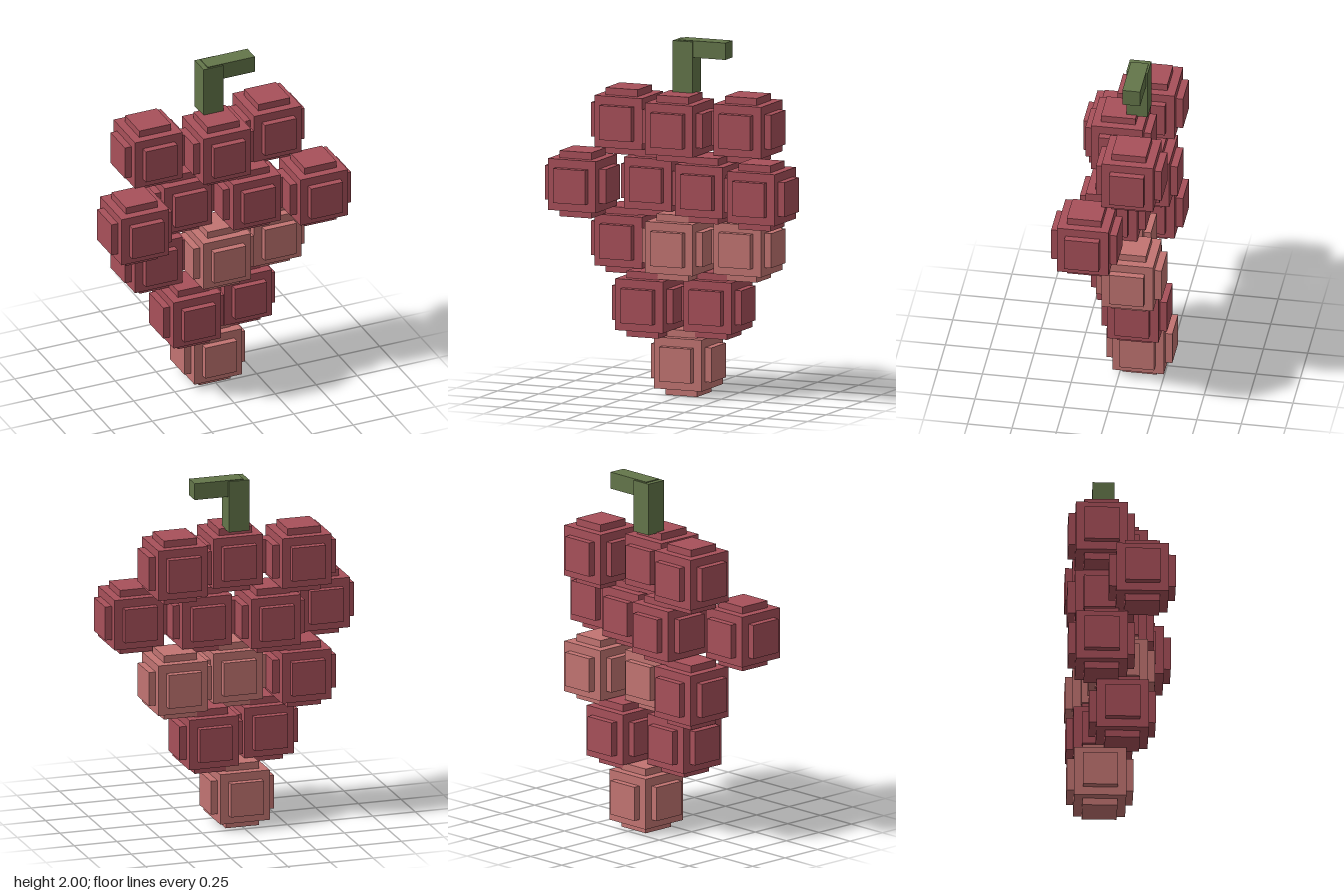
import * as THREE from 'three';

const CORE = 0.29;   // edge of the berry's main cube
const OUTER = 0.37;  // berry size across two opposite raised pads
const PAD = 0.194;   // edge of each raised pad
const BACK = -0.11, MIDDLE = 0.01, FRONT = 0.112; // depth layers of the bunch

export function createModel() {
  const red = new THREE.MeshStandardMaterial({ name: 'dark berry red', color: 0xa8505a });
  const pink = new THREE.MeshStandardMaterial({ name: 'light berry pink', color: 0xc27472 });
  const green = new THREE.MeshStandardMaterial({ name: 'stem green', color: 0x64764a });

  const box = (name, size, pos, material) => {
    const mesh = new THREE.Mesh(new THREE.BoxGeometry(...size), material);
    mesh.name = name;
    mesh.position.set(...pos);
    return mesh;
  };

  // A cube with a raised pad on all six faces
  const berry = (x, y, z, material) => {
    const group = new THREE.Group();
    group.name = 'berry';
    group.position.set(x, y, z);
    group.add(box('berryCore', [CORE, CORE, CORE], [0, 0, 0], material));
    const depth = (OUTER - CORE) / 2;
    for (let axis = 0; axis < 3; axis++) {
      for (const side of [-1, 1]) {
        const size = [PAD, PAD, PAD], pos = [0, 0, 0];
        size[axis] = depth;
        pos[axis] = side * (CORE + depth) / 2;
        group.add(box('berryPad', size, pos, material));
      }
    }
    return group;
  };

  // Rows from the bottom up: [x, z, material]
  const rows = [
    [[0, BACK, pink]],
    [[-0.182, MIDDLE, red], [0.182, BACK, red]],
    [[-0.363, BACK, red], [0, MIDDLE, pink], [0.363, BACK, pink]],
    [[-0.545, FRONT, red], [-0.182, BACK, red], [0.182, MIDDLE, red], [0.545, FRONT, red]],
    [[-0.363, BACK, red], [0, MIDDLE, red], [0.363, BACK, red]],
  ];

  const model = new THREE.Group();
  model.name = 'berryBunch';
  rows.forEach((row, i) => {
    for (const [x, z, material] of row) model.add(berry(x, OUTER / 2 + i * 0.334, z, material));
  });

  // Upright stem and the side twig at its top
  const stem = new THREE.Group();
  stem.name = 'stem';
  stem.add(box('stemUpright', [0.12, 0.295, 0.12], [0, 1.8475, -0.09], green));
  stem.add(box('stemTwig', [0.287, 0.095, 0.1], [0.113, 1.9525, -0.09], green));
  model.add(stem);

  return model;
}
